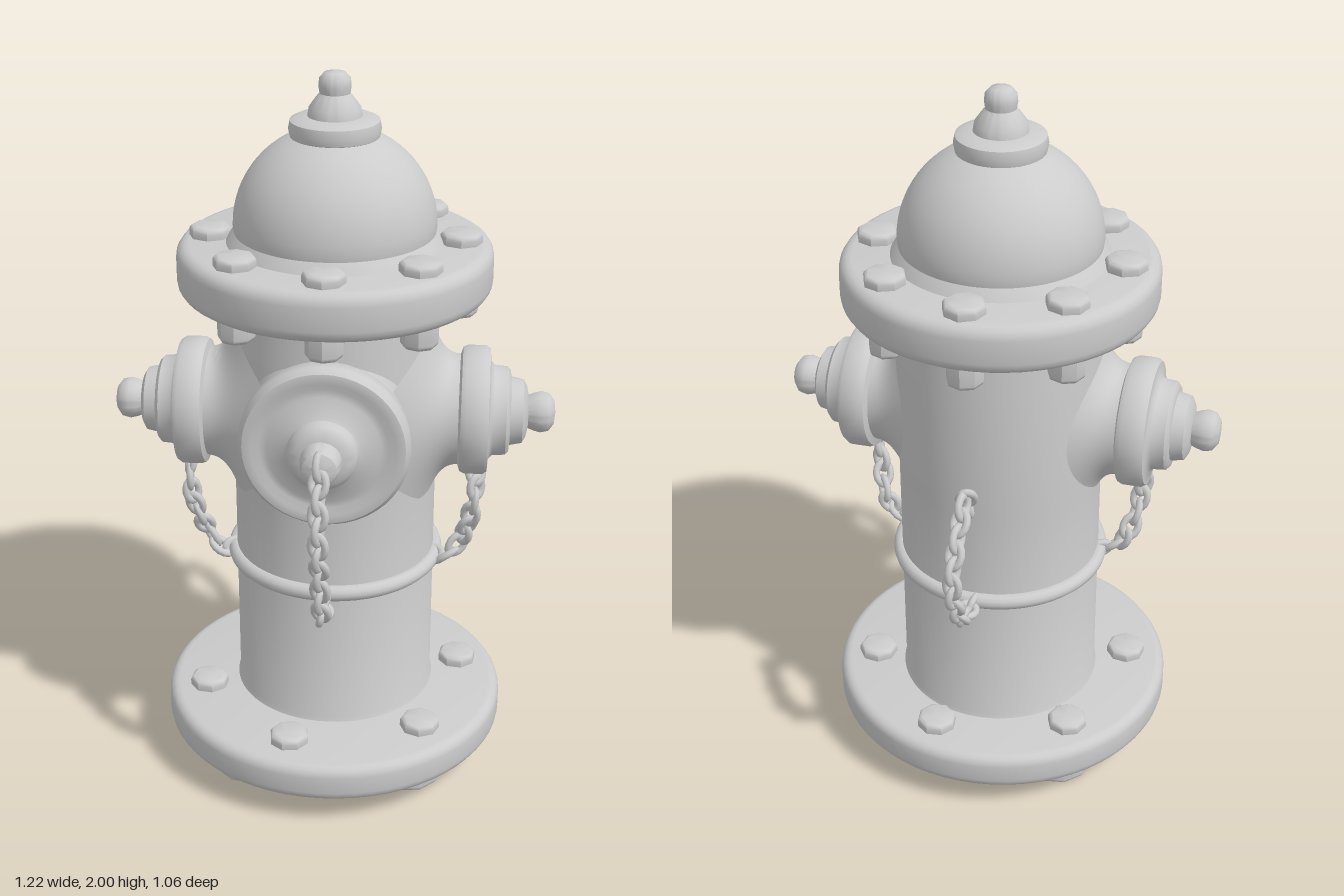
import * as THREE from 'three';
import { toCreasedNormals } from 'three/addons/utils/BufferGeometryUtils.js';

const material = new THREE.MeshStandardMaterial({ color: 0xcccccc, side: THREE.DoubleSide });
const BODY_R = 0.283;
const AXIS_Z = -0.02;

function add(parent, name, geometry, x = 0, y = 0, z = 0) {
  const mesh = new THREE.Mesh(geometry, material);
  mesh.name = name;
  mesh.position.set(x, y, z);
  parent.add(mesh);
  return mesh;
}

// Turned part from [radius, height] pairs, listed from bottom to top
function turned(profile, sides = 48) {
  const points = profile.map(([r, h]) => new THREE.Vector2(r, h));
  return toCreasedNormals(new THREE.LatheGeometry(points, sides), 0.75);
}

// Disc with softly rounded rims
function disc(r, y0, y1, round, sides = 64) {
  const profile = [[0, y0]];
  for (const [cy, start] of [[y0 + round, -Math.PI / 2], [y1 - round, 0]]) {
    for (let i = 0; i <= 4; i++) {
      const a = start + (i / 4) * Math.PI / 2;
      profile.push([r - round + Math.cos(a) * round, cy + Math.sin(a) * round]);
    }
  }
  profile.push([0, y1]);
  return turned(profile, sides);
}

// Repeats a bolt around a vertical axis
function boltCircle(parent, name, geometry, count, radius, start, y, z) {
  for (let i = 0; i < count; i++) {
    const a = start + (i / count) * Math.PI * 2;
    const bolt = add(parent, name, geometry, Math.cos(a) * radius, y, z + Math.sin(a) * radius);
    bolt.rotation.y = -a;
  }
}

// Neck flaring onto the round body, pointing along +x
function neckGeometry(tipR, flare, end) {
  const points = [];
  for (let i = 0; i <= 12; i++) {
    const t = i / 12;
    points.push(new THREE.Vector2(tipR + flare * (1 - t) ** 3, t));
  }
  const geometry = new THREE.LatheGeometry(points, 56);
  const pos = geometry.attributes.position;
  for (let i = 0; i < pos.count; i++) {
    const t = pos.getY(i);
    const z = pos.getZ(i);
    const surface = Math.sqrt(Math.max(0, BODY_R ** 2 - z * z)) - 0.015;
    pos.setY(i, THREE.MathUtils.lerp(surface, end, t));
  }
  geometry.rotateZ(-Math.PI / 2);
  return toCreasedNormals(geometry, 1);
}

function outlet(parent, name, neck, capProfile, y, z, turn) {
  const group = new THREE.Group();
  group.name = name;
  add(group, 'outletNeck', neck);
  add(group, 'outletCap', turned(capProfile).rotateZ(-Math.PI / 2));
  group.position.set(0, y, z);
  group.rotation.y = turn;
  parent.add(group);
}

// Interlocking oval links along a curve
function chain(parent, name, coords) {
  const group = new THREE.Group();
  group.name = name;
  const curve = new THREE.CatmullRomCurve3(coords.map((c) => new THREE.Vector3(...c)));
  const count = Math.round(curve.getLength() / 0.043);
  const link = new THREE.TorusGeometry(0.021, 0.0105, 8, 14).scale(1, 1.4, 1);
  const up = new THREE.Vector3(0, 1, 0);
  for (let i = 0; i <= count; i++) {
    const p = curve.getPointAt(i / count);
    const mesh = add(group, 'chainLink', link, p.x, p.y, p.z);
    mesh.quaternion.setFromUnitVectors(up, curve.getTangentAt(i / count));
    mesh.rotateY(i % 2 ? 0.35 : 0.35 + Math.PI / 2);
  }
  parent.add(group);
}

export function createModel() {
  const model = new THREE.Group();
  model.name = 'hydrant';

  // Base flange with its bolts and feet
  add(model, 'baseFlange', disc(0.49, 0.08, 0.19, 0.03), 0, 0, 0.008);
  boltCircle(model, 'baseBolt', disc(0.056, 0, 0.045, 0.015, 8), 6, 0.375, Math.PI / 4, 0.175, 0);
  boltCircle(model, 'foot', disc(0.1, 0, 0.1, 0.015, 10), 4, 0.325, Math.PI / 4, 0, 0);
  add(model, 'underNub', new THREE.CylinderGeometry(0.035, 0.018, 0.09, 8), 0.38, 0.05, -0.13);
  add(model, 'underNub', new THREE.CylinderGeometry(0.03, 0.015, 0.04, 8), -0.41, 0.065, 0.05);

  // Barrel and the ring that holds the chains
  add(model, 'barrel', turned([
    [0.3, 0.17], [BODY_R, 0.2], [BODY_R, 0.9], [BODY_R, 1.3], [0.275, 1.36], [0.275, 1.43],
  ], 64), 0, 0, AXIS_Z);
  add(model, 'chainRing', new THREE.TorusGeometry(0.285, 0.023, 12, 64).rotateX(Math.PI / 2), 0, 0.615, AXIS_Z);

  // Top flange, bolted from above and below
  add(model, 'topFlange', disc(0.425, 1.41, 1.545, 0.035), 0, 0, AXIS_Z + 0.005);
  boltCircle(model, 'topBolt', disc(0.057, 0, 0.045, 0.015, 8), 8, 0.337, 0, 1.53, AXIS_Z);
  boltCircle(model, 'lowerNut', disc(0.05, 0, 0.09, 0.015, 8), 8, 0.337, 0, 1.34, AXIS_Z);

  // Domed bonnet
  const dome = [[0.3, 1.53], [0.285, 1.555], [0.27, 1.575]];
  for (let i = 0; i <= 14; i++) {
    const a = (i / 14) * 1.2;
    dome.push([0.272 * Math.cos(a), 1.59 + 0.265 * Math.sin(a)]);
  }
  add(model, 'bonnetDome', turned(dome, 64), 0, 0, -0.012);

  // Finial: collar, cone and rounded nut
  add(model, 'finial', turned([
    [0.1, 1.82], [0.118, 1.83], [0.122, 1.85], [0.118, 1.872], [0.1, 1.88], [0.072, 1.883],
    [0.068, 1.905], [0.05, 1.93], [0.04, 1.942], [0.043, 1.96], [0.041, 1.98], [0.028, 1.995], [0, 2],
  ]), 0, 0, -0.01);

  // Side outlets
  const sideCap = [
    [0.15, 0.345], [0.172, 0.352], [0.178, 0.365], [0.178, 0.415], [0.17, 0.427], [0.135, 0.43],
    [0.125, 0.44], [0.122, 0.475], [0.112, 0.484], [0.095, 0.486], [0.088, 0.52], [0.07, 0.53],
    [0.046, 0.535], [0.052, 0.55], [0.057, 0.57], [0.052, 0.592], [0.033, 0.606], [0, 0.61],
  ];
  const sideNeck = neckGeometry(0.152, 0.1, 0.36);
  outlet(model, 'leftOutlet', sideNeck, sideCap, 1.07, 0.01, 0);
  outlet(model, 'rightOutlet', sideNeck, sideCap, 1.07, 0.01, Math.PI);

  // Large front outlet with a raised rim
  const frontCap = [
    [0.19, 0.285], [0.217, 0.292], [0.228, 0.308], [0.228, 0.345], [0.215, 0.364], [0.19, 0.368],
    [0.17, 0.358], [0.15, 0.362], [0.105, 0.378], [0.095, 0.385], [0.09, 0.41], [0.075, 0.425],
    [0.055, 0.43], [0.052, 0.46], [0.045, 0.48], [0.025, 0.49], [0, 0.492],
  ];
  outlet(model, 'frontOutlet', neckGeometry(0.2, 0.035, 0.3), frontCap, 1.09, AXIS_Z, -Math.PI / 2);

  // Chains from each cap to the ring, and a loose one behind
  chain(model, 'frontChain', [
    [0, 1.1, 0.46], [0, 1.0, 0.495], [0, 0.87, 0.5], [0, 0.77, 0.46], [0, 0.68, 0.435], [0, 0.62, 0.4], [0, 0.61, 0.31],
  ]);
  for (const [name, s] of [['leftChain', 1], ['rightChain', -1]]) {
    chain(model, name, [
      [s * 0.39, 0.95, 0.05], [s * 0.4, 0.87, 0.08], [s * 0.385, 0.76, 0.07],
      [s * 0.36, 0.67, 0.03], [s * 0.32, 0.62, 0.04], [s * 0.285, 0.615, 0.02],
    ]);
  }
  chain(model, 'backChain', [
    [0, 0.95, -0.34], [0, 1.0, -0.37], [0, 0.95, -0.42], [0, 0.87, -0.48],
    [0, 0.79, -0.5], [0, 0.7, -0.465], [0, 0.63, -0.41], [0, 0.61, -0.31],
  ]);

  return model;
}
